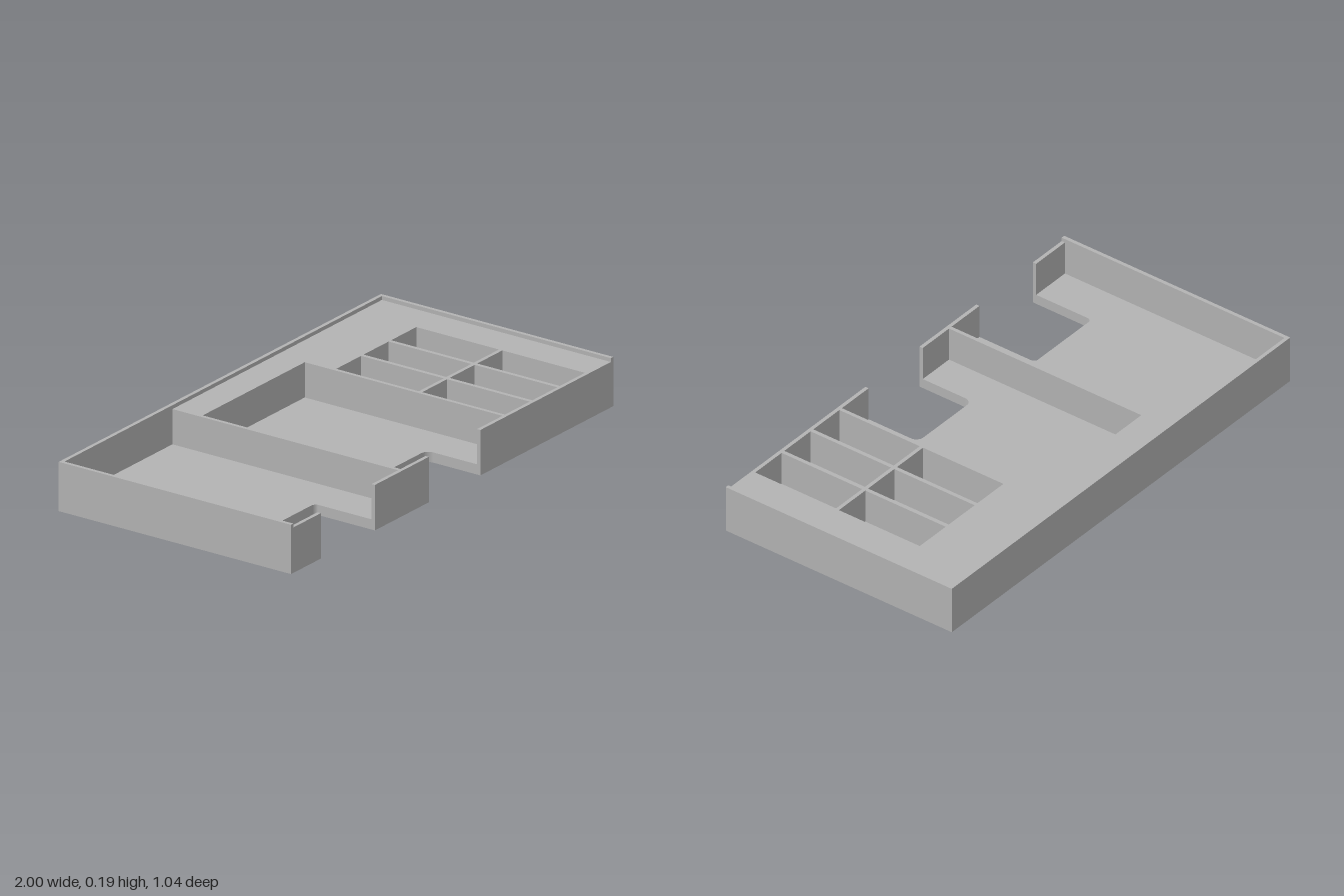
import * as THREE from 'three';

const FLOOR = 0.04, DECK = 0.178, TOP = 0.193; // heights of the three layers
const X = 1, Z = 0.52, W = 0.015;              // half sizes and wall thickness
const XI = X - W, ZI = Z - W;

// finger notches in the front edge and the open bays behind them
const notches = [
  { x0: -0.815, x1: -0.48, z: 0.25, r: 0.018 },
  { x0: -0.145, x1: 0.175, z: 0.278, r: 0.032 },
];
const bays = [
  { x0: -XI, x1: -0.315, z: -ZI },
  { x0: -0.3, x1: 0.333, z: -0.38 },
];

// plan points are [x, z]
const plan = (points) => new THREE.Shape(points.map(([x, z]) => new THREE.Vector2(x, -z)));

function layer(name, shape, y0, y1, material) {
  const geometry = new THREE.ExtrudeGeometry(shape, { depth: y1 - y0, bevelEnabled: false, curveSegments: 8 });
  geometry.rotateX(-Math.PI / 2);
  const mesh = new THREE.Mesh(geometry, material);
  mesh.name = name;
  mesh.position.y = y0;
  return mesh;
}

// floor outline with round-cornered notches
function floorShape() {
  const s = new THREE.Shape();
  s.moveTo(-X, -Z);
  for (const { x0, x1, z, r } of notches) {
    s.lineTo(x0, -Z);
    s.lineTo(x0, -z - r);
    s.absarc(x0 + r, -z - r, r, Math.PI, Math.PI / 2, true);
    s.lineTo(x1 - r, -z);
    s.absarc(x1 - r, -z - r, r, Math.PI / 2, 0, true);
    s.lineTo(x1, -Z);
  }
  s.lineTo(X, -Z);
  s.lineTo(X, Z);
  s.lineTo(-X, Z);
  s.closePath();
  return s;
}

// raised body: bays open to the front through the notches, cells are holes
function bodyShape() {
  const points = [[-X, Z]];
  notches.forEach((n, i) => {
    const b = bays[i];
    points.push([n.x0, Z], [n.x0, ZI], [b.x0, ZI], [b.x0, b.z],
      [b.x1, b.z], [b.x1, ZI], [n.x1, ZI], [n.x1, Z]);
  });
  points.push([X, Z], [X, -Z], [-X, -Z]);
  const s = plan(points);
  for (const [x0, x1] of [[0.348, 0.502], [0.518, 0.673], [0.689, 0.845]]) {
    for (const [z0, z1] of [[-0.25, 0.12], [0.135, ZI]]) {
      s.holes.push(plan([[x0, z0], [x0, z1], [x1, z1], [x1, z0]]));
    }
  }
  return s;
}

export function createModel() {
  const group = new THREE.Group();
  group.name = 'tray';
  const grey = new THREE.MeshStandardMaterial({ color: 0xb3b3b3 });
  grey.name = 'grey plastic';

  // lip around the back and both sides
  const lip = plan([[-X, Z], [-XI, Z], [-XI, -ZI], [XI, -ZI], [XI, Z], [X, Z], [X, -Z], [-X, -Z]]);

  group.add(
    layer('floor', floorShape(), 0, FLOOR, grey),
    layer('compartmentWalls', bodyShape(), FLOOR, DECK, grey),
    layer('lip', lip, DECK, TOP, grey),
  );
  return group;
}
